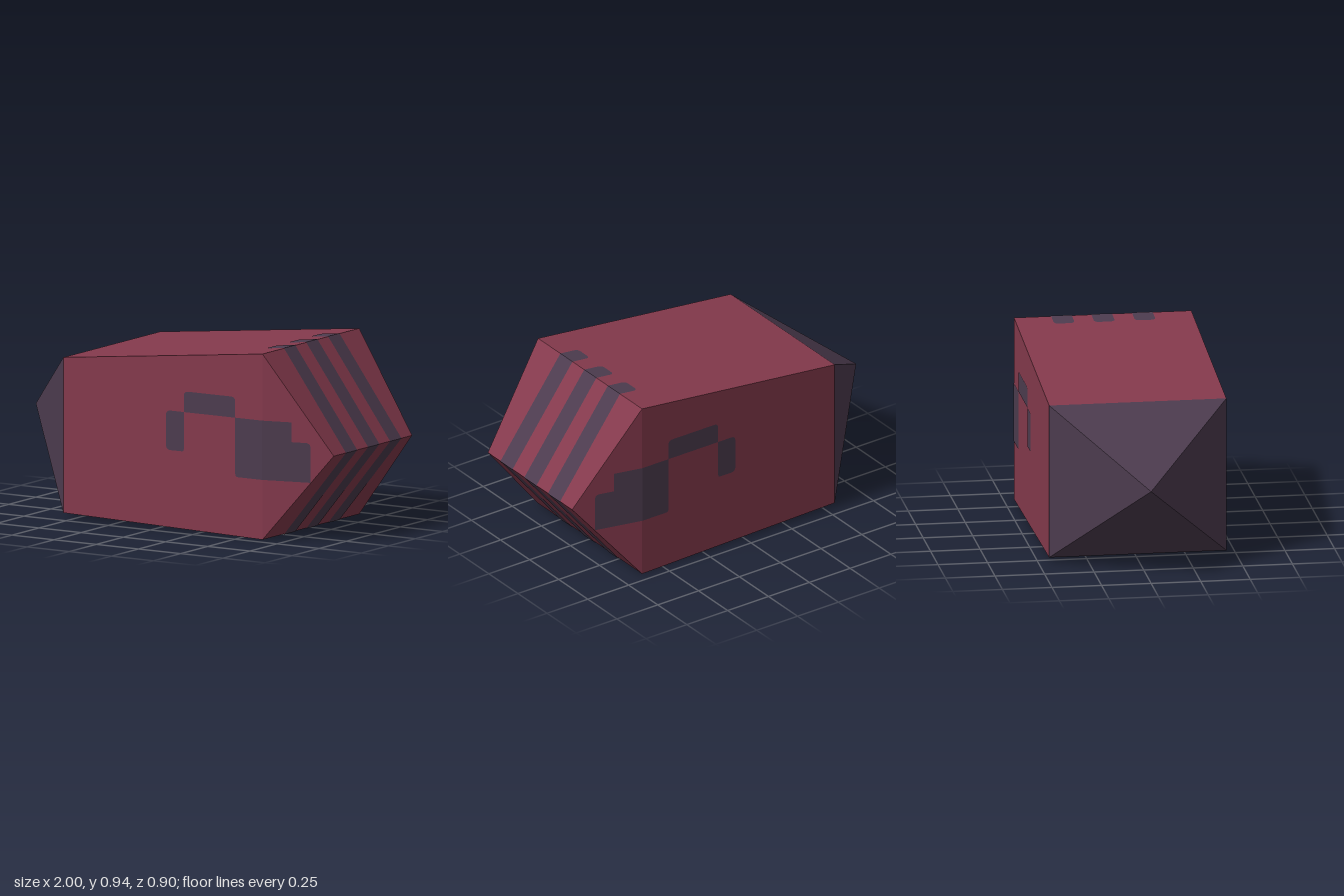
import * as THREE from 'three';

const LIFT = 0.002; // how far painted markings stand off the hull

// Flat-shaded mesh from convex faces, each a loop of points
function facets(faces) {
  const points = [];
  for (const f of faces)
    for (let i = 1; i < f.length - 1; i++) points.push(f[0], f[i], f[i + 1]);
  const geo = new THREE.BufferGeometry().setFromPoints(points);
  geo.computeVertexNormals();
  return geo;
}

// Polygon whose corners [x, y, radius] may be rounded
function roundedShape(corners) {
  const shape = new THREE.Shape();
  const v = corners.map(c => new THREE.Vector2(c[0], c[1]));
  corners.forEach(([x, y, r = 0], i) => {
    const towards = p => v[i].clone().add(p.clone().sub(v[i]).setLength(r));
    const a = towards(v[(i + v.length - 1) % v.length]);
    const b = towards(v[(i + 1) % v.length]);
    if (i === 0) shape.moveTo(a.x, a.y);
    else shape.lineTo(a.x, a.y);
    if (r) shape.quadraticCurveTo(x, y, b.x, b.y);
  });
  shape.closePath();
  return shape;
}

// Flat marking laid onto the hull by a mapping rule
function decal(corners, place, flip) {
  const geo = new THREE.ShapeGeometry(roundedShape(corners), 5);
  const pos = geo.attributes.position;
  for (let i = 0; i < pos.count; i++) pos.setXYZ(i, ...place(pos.getX(i), pos.getY(i)));
  if (flip) geo.setIndex([...geo.index.array].reverse());
  const flat = geo.toNonIndexed();
  flat.computeVertexNormals();
  return flat;
}

export function createModel() {
  const model = new THREE.Group();
  const red = new THREE.MeshStandardMaterial({ color: 0x853a4d });
  red.name = 'dark red';
  const plum = new THREE.MeshStandardMaterial({ color: 0x4d3c4f });
  plum.name = 'dusky plum';
  const add = (name, geo, mat, parent = model) => {
    const mesh = new THREE.Mesh(geo, mat);
    mesh.name = name;
    parent.add(mesh);
  };
  const P = (x, y, z) => new THREE.Vector3(x, y, z);
  const section = (x, y0, y1, z) => [P(x, y0, z), P(x, y0, -z), P(x, y1, -z), P(x, y1, z)];

  // Hull: two rectangular sections closed by a wedge
  const A = section(-0.55, 0.028, 0.815, 0.447);
  const B = section(0.63, 0.002, 0.942, 0.447);
  const wedgeFront = P(0.998, 0.447, 0.362), wedgeBack = P(0.998, 0.447, -0.362);
  const next = i => (i + 1) % 4;
  const sides = [0, 1, 2, 3];
  add('hull', facets([
    ...sides.map(i => [A[i], A[next(i)], B[next(i)], B[i]]),
    [B[0], B[1], wedgeBack, wedgeFront],
    [B[2], B[3], wedgeFront, wedgeBack],
    [B[3], B[0], wedgeFront],
    [B[1], B[2], wedgeBack],
  ]), red);

  // Pyramid point
  const tip = P(-1, 0.475, 0);
  add('point', facets(sides.map(i => [tip, A[next(i)], A[i]])), plum);

  // Side markings, split where the hull bends, the same on both sides
  const r = 0.025;
  const patches = [
    [[0.06, 0.405, r], [0.165, 0.405, 0.012], [0.165, 0.605], [0.06, 0.605, r]],
    [[0.165, 0.605], [0.47, 0.605], [0.47, 0.71, r], [0.165, 0.71, r]],
    [[0.47, 0.305, 0.015], [0.63, 0.305], [0.63, 0.605], [0.47, 0.605]],
    [[0.63, 0.305], [0.879, 0.305], [0.879, 0.505, r], [0.78, 0.505], [0.78, 0.605], [0.63, 0.605]],
  ];
  for (const s of [1, -1]) {
    const group = new THREE.Group();
    group.name = s > 0 ? 'frontMarkings' : 'backMarkings';
    const onSide = (x, y) => [x, y, s * (0.447 + LIFT - Math.max(0, x - 0.63) * 0.085 / 0.368)];
    for (const p of patches) add('sidePatch', decal(p, onSide, s < 0), plum, group);
    model.add(group);
  }

  // Three stripes folding over the wedge from top to underside
  const stripes = new THREE.Group();
  stripes.name = 'stripes';
  const bend = 0.63 + LIFT, end = 1, mid = 0.447;
  const slopes = [
    { edge: 0.942 + LIFT, rise: (0.942 - 0.815) / 1.18, flip: true },
    { edge: 0.002 - LIFT, rise: (0.002 - 0.028) / 1.18, flip: false },
  ];
  for (const z of [-0.208, -0.005, 0.2]) {
    const a = z - 0.052, b = z + 0.052;
    for (const { edge, rise, flip } of slopes) {
      const onFlat = (x, v) => [x, edge + (x - bend) * rise, v];
      const onWedge = (x, v) => [x, edge + (mid - edge) * (x - bend) / (end - bend), v];
      add('stripeEnd', decal([[0.525, a, r], [bend, a], [bend, b], [0.525, b, r]], onFlat, flip), plum, stripes);
      add('stripe', decal([[bend, a], [end, a], [end, b], [bend, b]], onWedge, flip), plum, stripes);
    }
  }
  model.add(stripes);
  return model;
}
